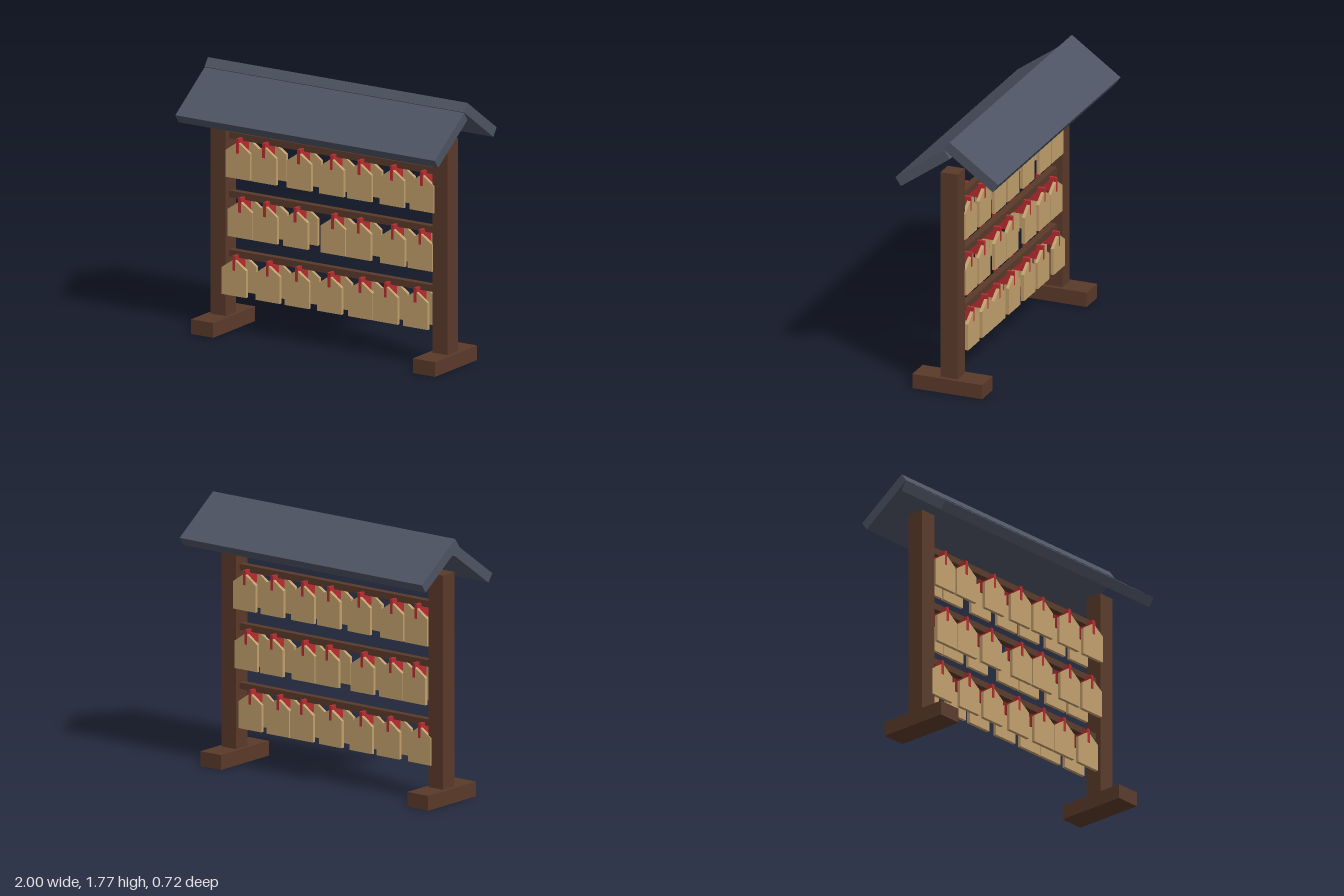
import * as THREE from 'three';

const mat = (name, color) => Object.assign(new THREE.MeshStandardMaterial({ color }), { name });

export function createModel() {
  const root = new THREE.Group();
  root.name = 'plaqueRack';
  const timber = mat('dark timber', 0x5a3a2a);
  const slate = mat('slate roof', 0x4d5362);
  const paleWood = mat('pale wood', 0xc19f6c);
  const cord = mat('red cord', 0xb82c30);
  const midZ = 0.021;

  const box = (name, material, size, pos, parent = root) => {
    const mesh = new THREE.Mesh(new THREE.BoxGeometry(...size), material);
    mesh.name = name;
    mesh.position.set(...pos);
    parent.add(mesh);
    return mesh;
  };

  // Posts and feet
  for (const [side, s] of [['left', 1], ['right', -1]]) {
    box(side + 'Post', timber, [0.118, 1.42, 0.12], [s * 0.855, 0.808, midZ]);
    box(side + 'Foot', timber, [0.17, 0.098, 0.488], [s * 0.855, 0.049, 0.023]);
  }

  // Roof: two slabs, the back one lapping over the front one at the ridge
  const pitch = 0.616;
  box('frontRoof', slate, [2, 0.068, 0.418], [0, 1.563, 0.17]).rotation.x = pitch;
  box('backRoof', slate, [2, 0.068, 0.418], [0, 1.622, -0.17]).rotation.x = -pitch;

  // Five-sided plaque, origin at the rail centre
  const outline = new THREE.Shape([
    [-0.094, -0.267], [0.094, -0.267], [0.094, -0.087], [0, -0.022], [-0.094, -0.087],
  ].map(([x, y]) => new THREE.Vector2(x, y)));
  const plate = 0.022;
  const plaqueGeo = new THREE.ExtrudeGeometry(outline, { depth: plate, bevelEnabled: false });
  plaqueGeo.translate(0, 0, -plate / 2);

  // Rails, each hung with plaques front and back
  const rows = [
    [1.297, [-0.698, -0.497, -0.227, 0.024, 0.238, 0.489, 0.719]],
    [0.905, [-0.682, -0.489, -0.254, 0.035, 0.233, 0.495, 0.706]],
    [0.512, [-0.727, -0.468, -0.243, 0.008, 0.246, 0.441, 0.671]],
  ];
  for (const [y, xs] of rows) {
    const row = new THREE.Group();
    row.name = 'plaqueRow';
    row.position.set(0, y, midZ);
    root.add(row);
    box('rail', timber, [1.62, 0.044, 0.046], [0, 0, 0], row);
    for (const x of xs) {
      for (const s of [1, -1]) {
        const plaque = new THREE.Mesh(plaqueGeo, paleWood);
        plaque.name = s > 0 ? 'frontPlaque' : 'backPlaque';
        plaque.position.set(x, 0, s * 0.059);
        row.add(plaque);
      }
      box('cordLoop', cord, [0.02, 0.097, 0.143], [x, -0.049, 0.001], row);
    }
  }
  return root;
}
